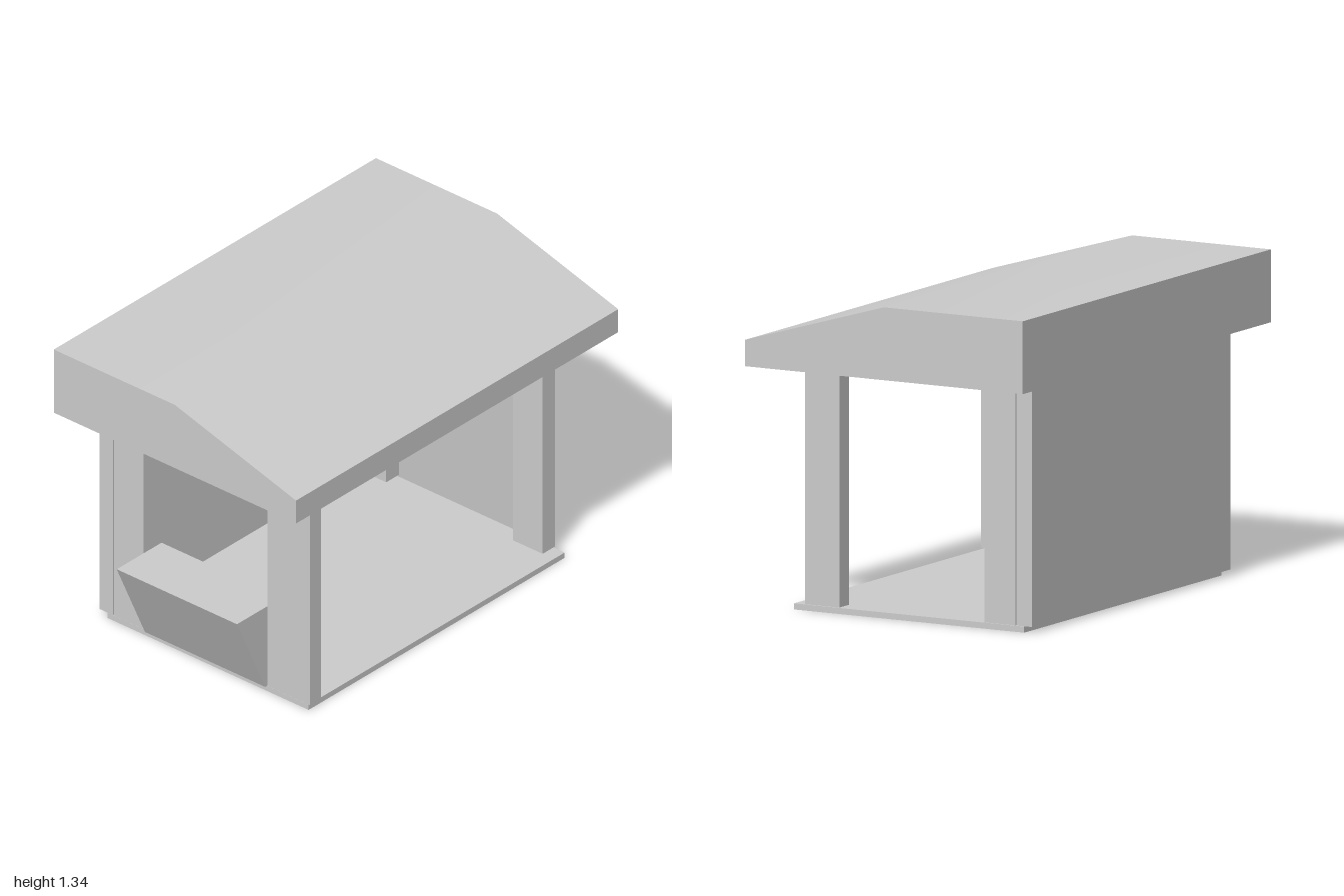
import * as THREE from 'three';
import { toCreasedNormals } from 'three/addons/utils/BufferGeometryUtils.js';

const material = new THREE.MeshStandardMaterial({ color: 0xcccccc });

function addMesh(group, name, geometry) {
  const mesh = new THREE.Mesh(geometry, material);
  mesh.name = name;
  group.add(mesh);
}

// Box given by its [min, max] extent on each axis
function addBox(group, name, [x0, x1], [y0, y1], [z0, z1]) {
  const geometry = new THREE.BoxGeometry(x1 - x0, y1 - y0, z1 - z0);
  geometry.translate((x0 + x1) / 2, (y0 + y1) / 2, (z0 + z1) / 2);
  addMesh(group, name, geometry);
}

// Prism from a side profile, centred along its depth
function prism(points, depth) {
  const shape = new THREE.Shape(points.map(([x, y]) => new THREE.Vector2(x, y)));
  const geometry = new THREE.ExtrudeGeometry(shape, { depth, bevelEnabled: false });
  return geometry.translate(0, 0, -depth / 2);
}

export function createModel() {
  const group = new THREE.Group();
  group.name = 'kiosk';
  const wallY = [0.028, 1.032];
  const leftX = [-0.8, -0.73];
  const rightX = [0.722, 0.8];

  // Floor slab and back wall
  addBox(group, 'floor', [-0.797, 0.793], [0, 0.025], [-0.545, 0.55]);
  addBox(group, 'backWall', [-0.8, 0.8], wallY, [-0.585, -0.513]);

  // Corner posts, each with its own depth
  addBox(group, 'frontLeftPost', rightX, wallY, [0.33, 0.492]);
  addBox(group, 'frontRightPost', leftX, wallY, [0.33, 0.56]);
  addBox(group, 'backLeftPost', rightX, wallY, [-0.508, -0.36]);
  addBox(group, 'backRightPost', leftX, wallY, [-0.508, -0.346]);

  // Serving counter flaring outward
  addMesh(group, 'counter', prism(
    [[-0.71, 0.028], [-0.71, 0.409], [-0.988, 0.409], [-0.813, 0.028]], 0.655));

  // Roof block: level at the back, sloping down to the front, soft ridge
  const roof = prism(
    [[-0.66, 1.032], [0.66, 1.032], [0.66, 1.335], [0, 1.335], [-0.66, 1.142]], 2);
  roof.rotateY(Math.PI / 2);
  addMesh(group, 'roof', toCreasedNormals(roof, 0.6));

  return group;
}
